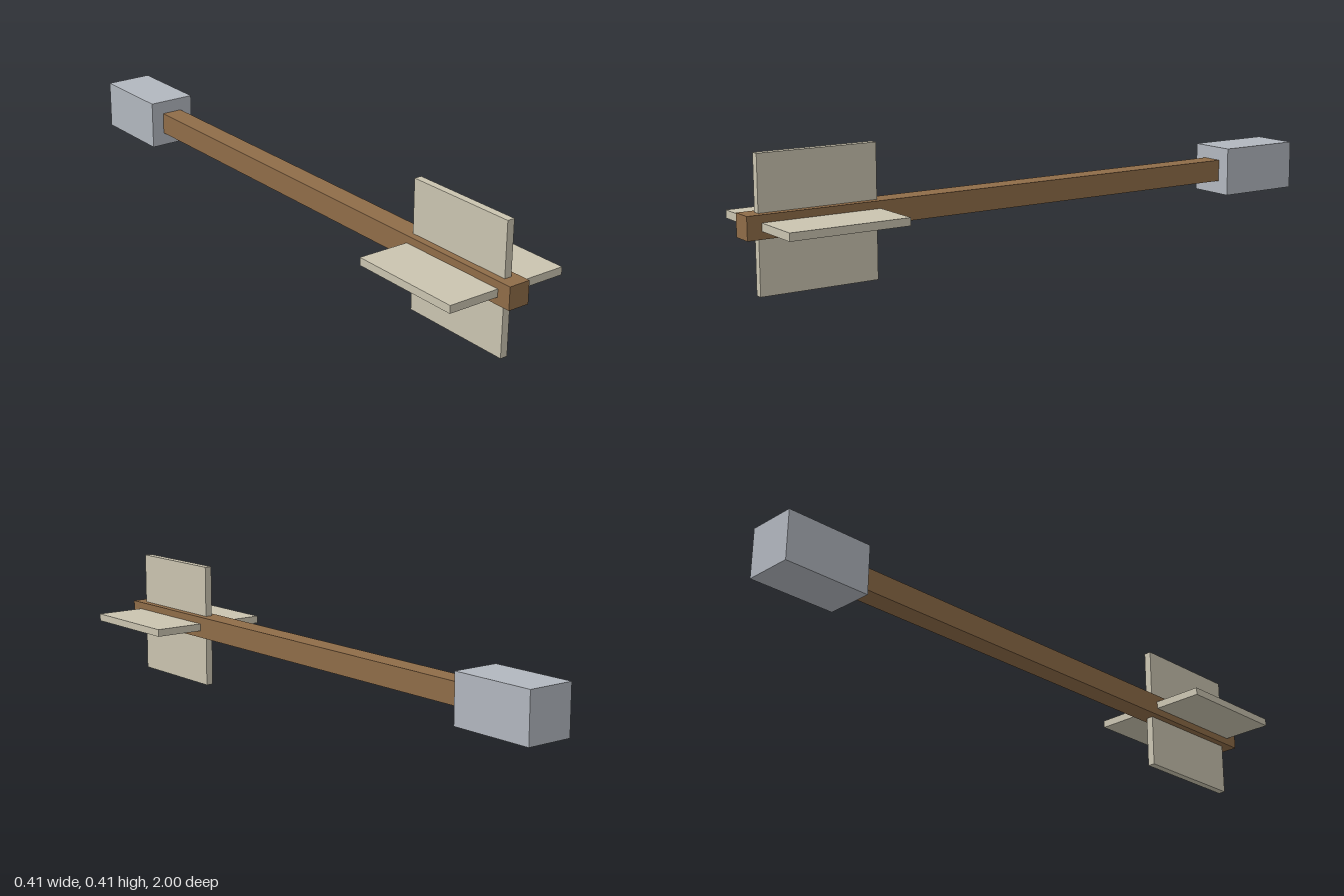
import * as THREE from 'three';

export function createModel() {
  const group = new THREE.Group();
  group.name = 'arrow';

  const material = (name, color) => {
    const m = new THREE.MeshStandardMaterial({ color });
    m.name = name;
    return m;
  };
  const wood = material('wood', 0x8f6c48);
  const metal = material('metal', 0xb2b7bf);
  const feather = material('feather', 0xcac4b0);

  const axisY = 0.203; // height of the arrow's long axis
  const fin = { reach: 0.203, thickness: 0.024, back: 0.58, front: 0.955 };
  const shaftHalf = 0.035;

  // Square bar along z, centred on the arrow's axis
  function bar(name, mat, width, z0, z1) {
    const mesh = new THREE.Mesh(new THREE.BoxGeometry(width, width, z1 - z0), mat);
    mesh.name = name;
    mesh.position.set(0, axisY, (z0 + z1) / 2);
    group.add(mesh);
  }
  bar('shaft', wood, shaftHalf * 2, -0.715, 1);
  bar('head', metal, 0.156, -1, -0.715);

  // Four fins, each standing on one side of the shaft
  const finNames = ['finLeft', 'finTop', 'finRight', 'finBottom'];
  const finLength = fin.reach - shaftHalf;
  const finGeometry = new THREE.BoxGeometry(finLength, fin.thickness, fin.front - fin.back);
  finGeometry.translate(shaftHalf + finLength / 2, 0, (fin.front + fin.back) / 2);
  finNames.forEach((name, i) => {
    const mesh = new THREE.Mesh(finGeometry, feather);
    mesh.name = name;
    mesh.position.y = axisY;
    mesh.rotation.z = (i * Math.PI) / 2;
    group.add(mesh);
  });

  return group;
}
